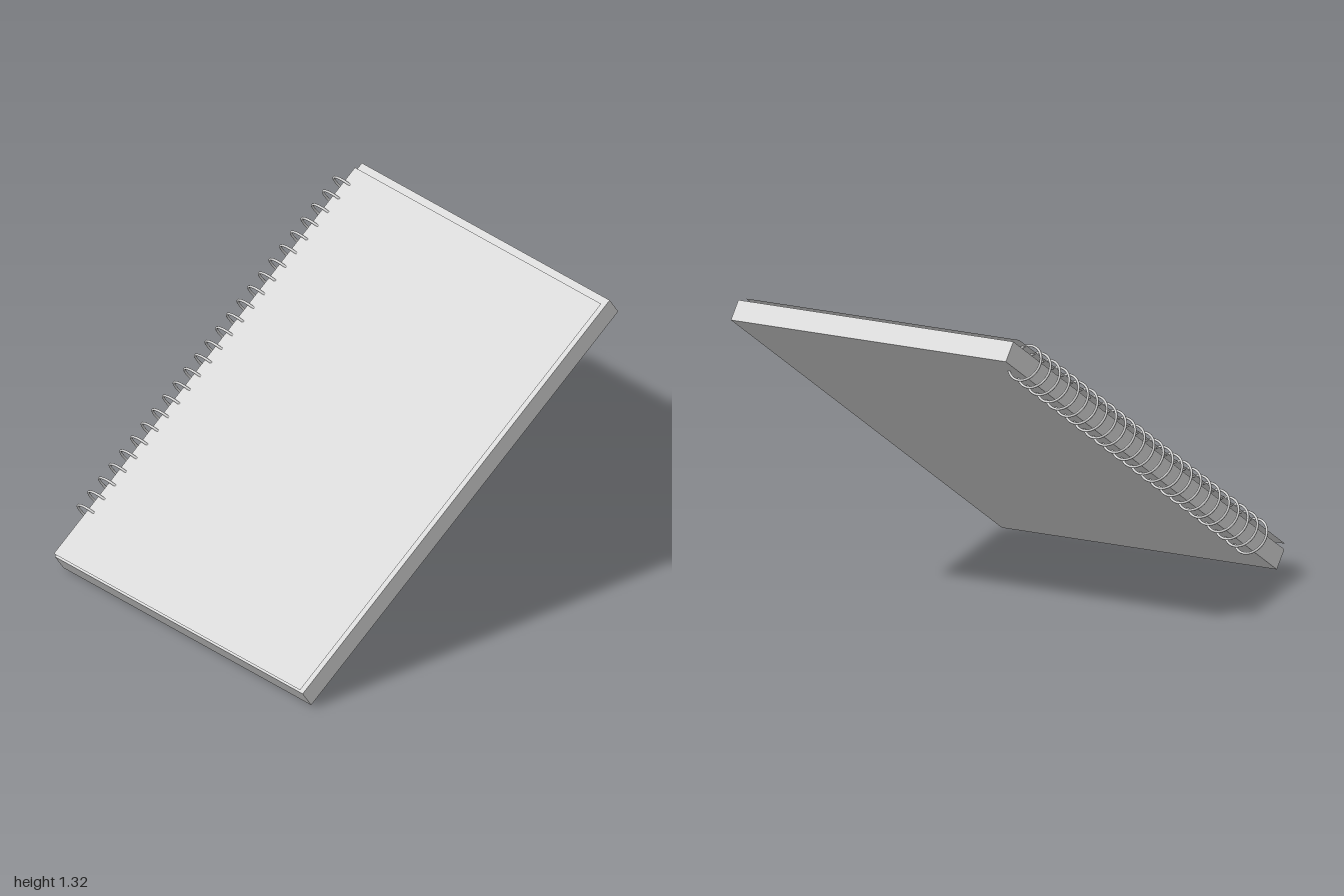
import * as THREE from 'three';

export function createModel() {
  const model = new THREE.Group();
  const grey = new THREE.MeshStandardMaterial({ color: 0xcccccc });
  const sheet = new THREE.MeshStandardMaterial({ color: 0xcccccc, side: THREE.DoubleSide });

  const add = (parent, name, geometry, material, x, y, z) => {
    const mesh = new THREE.Mesh(geometry, material);
    mesh.name = name;
    mesh.position.set(x, y, z);
    parent.add(mesh);
    return mesh;
  };

  const WIDTH = 1.6, THICK = 0.1, LENGTH = 2.302, TILT = 0.569;

  // the whole notebook leans back; inside it y is the page normal, z the page length
  const notebook = new THREE.Group();
  notebook.name = 'notebook';
  notebook.rotation.x = TILT;
  notebook.position.set(0, 0.662, -0.004);
  model.add(notebook);

  // block of pages
  add(notebook, 'pageBlock', new THREE.BoxGeometry(WIDTH, THICK, LENGTH), grey, 0.045, 0, 0);

  // paper-thin front cover hovering just above the pages
  const cover = new THREE.PlaneGeometry(1.59, 2.258).rotateX(-Math.PI / 2);
  add(notebook, 'frontCover', cover, sheet, 0.045, THICK / 2 + 0.026, 0.019);

  // row of wire rings along the spine
  const binding = new THREE.Group();
  binding.name = 'wireBinding';
  notebook.add(binding);
  const ring = new THREE.TorusGeometry(0.086, 0.006, 8, 36);
  const RINGS = 25, FIRST = 0.89, LAST = -1.028;
  for (let i = 0; i < RINGS; i++) {
    const z = FIRST + (LAST - FIRST) * i / (RINGS - 1);
    add(binding, 'bindingRing', ring, grey, -0.76, 0, z);
  }

  return model;
}
